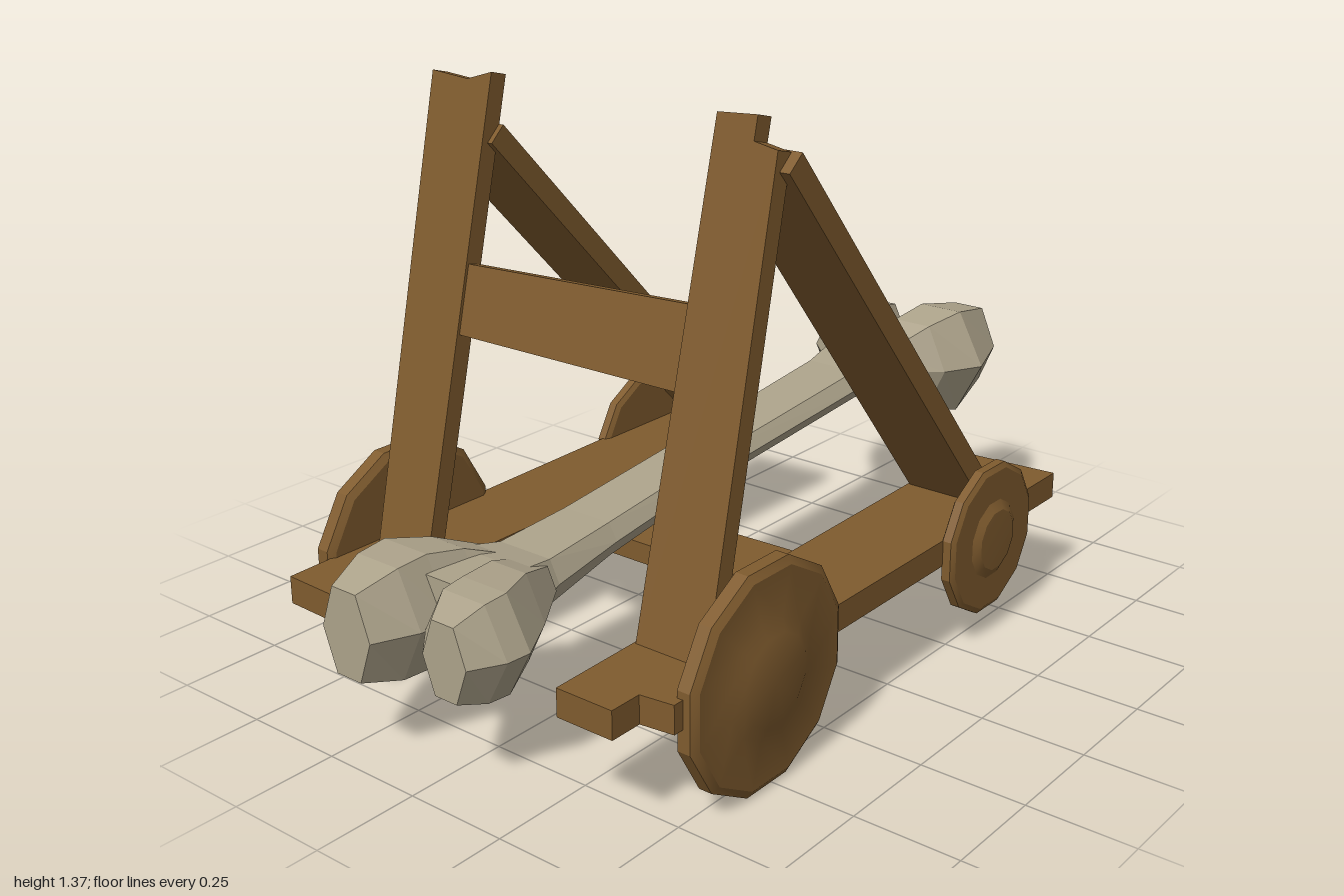
import * as THREE from 'three';
import { toCreasedNormals } from 'three/addons/utils/BufferGeometryUtils.js';

const wood = new THREE.MeshStandardMaterial({ color: 0x7f5b2e });
const bone = new THREE.MeshStandardMaterial({ color: 0xaca28a });

function add(parent, name, geometry, material) {
  const mesh = new THREE.Mesh(geometry, material);
  mesh.name = name;
  parent.add(mesh);
  return mesh;
}

// Flat board from a 2D outline, tilted about x and set at (y, z)
function board(parent, name, outline, depth, tilt, y, z, offset = 0) {
  const shape = new THREE.Shape(outline.map(([u, v]) => new THREE.Vector2(u, v)));
  const geo = new THREE.ExtrudeGeometry(shape, { depth, bevelEnabled: false });
  geo.translate(0, 0, offset).rotateX(tilt).translate(0, y, z);
  return add(parent, name, geo, wood);
}

// Twelve-sided wheel with bevelled rim and raised hub on the outside
function wheel(parent, name, side, x, z, r, t) {
  const profile = [[0, 0], [0.93 * r, 0], [r, 0.2 * t], [r, 0.8 * t], [0.93 * r, t],
    [0.52 * r, t], [0.4 * r, t + 0.012], [0, t + 0.014]];
  const lathe = new THREE.LatheGeometry(profile.map(([a, b]) => new THREE.Vector2(a, b)), 12, Math.PI / 12);
  const geo = toCreasedNormals(lathe.rotateZ(-side * Math.PI / 2), 0.4);
  geo.translate(side * x, 0.26, z);
  add(parent, name, geo, wood);
}

// Faceted loft through six-sided rings [x, y, z, halfWidth, halfHeight, flatTopFraction]
function loft(rings) {
  const pts = rings.map(([x, y, z, w, h, f]) =>
    [[1, 0], [f, 1], [-f, 1], [-1, 0], [-f, -1], [f, -1]].map(([a, b]) => [x + a * w, y + b * h, z]));
  const out = [];
  const tri = (...p) => p.forEach((q) => out.push(...q));
  for (let r = 0; r < pts.length - 1; r++) {
    for (let i = 0; i < 6; i++) {
      const j = (i + 1) % 6;
      tri(pts[r][i], pts[r][j], pts[r + 1][j]);
      tri(pts[r][i], pts[r + 1][j], pts[r + 1][i]);
    }
  }
  const first = pts[0], last = pts[pts.length - 1];
  for (let i = 1; i < 5; i++) {
    tri(first[0], first[i + 1], first[i]);
    tri(last[0], last[i], last[i + 1]);
  }
  const geo = new THREE.BufferGeometry();
  geo.setAttribute('position', new THREE.Float32BufferAttribute(out, 3));
  geo.computeVertexNormals();
  return geo;
}

export function createModel() {
  const model = new THREE.Group();
  model.name = 'catapult';

  // Base frame: notched side rails and a floor crossbar
  const frame = new THREE.Group();
  frame.name = 'frame';
  model.add(frame);
  const flat = Math.PI / 2;
  board(frame, 'rightRail', [[-0.54, -0.69], [-0.285, -0.71], [-0.28, 0.79], [-0.36, 0.80],
    [-0.36, 0.88], [-0.505, 0.875]], 0.065, flat, 0.31, 0);
  board(frame, 'leftRail', [[0.265, -0.69], [0.52, -0.71], [0.525, 0.79], [0.445, 0.80],
    [0.445, 0.88], [0.30, 0.88]], 0.065, flat, 0.31, 0);
  board(frame, 'floorCrossbar', [[-0.32, 0.09], [0.32, 0.065], [0.32, 0.25], [-0.27, 0.25],
    [-0.27, 0.2], [-0.32, 0.2]], 0.05, flat, 0.305, 0);

  // Uprights leaning back, with chipped tops
  const lean = -0.242;
  board(frame, 'rightUpright', [[-0.475, 0], [-0.315, 0], [-0.32, 1.132], [-0.39, 1.11], [-0.50, 1.118]],
    0.045, lean, 0.28, 0.65, -0.045);
  board(frame, 'leftUpright', [[0.30, 0], [0.485, 0], [0.465, 1.066], [0.405, 1.076], [0.405, 1.128], [0.305, 1.122]],
    0.045, lean, 0.28, 0.65, -0.045);
  board(frame, 'upperCrossbeam', [[-0.33, 0.553], [0.32, 0.556], [0.32, 0.737], [-0.33, 0.711]],
    0.04, lean, 0.28, 0.65, -0.047);

  // Diagonal braces from the rails to the upright tops
  board(frame, 'rightBrace', [[-0.49, -0.01], [-0.295, -0.01], [-0.305, 1.32], [-0.36, 1.315], [-0.515, 1.31]],
    0.052, 0.764, 0.31, -0.55);
  board(frame, 'leftBrace', [[0.275, -0.01], [0.485, -0.01], [0.49, 1.305], [0.40, 1.305], [0.40, 1.28], [0.30, 1.28]],
    0.055, 0.702, 0.31, -0.495);

  // Large front wheels and small back wheels
  for (const side of [-1, 1]) {
    const label = side > 0 ? 'left' : 'right';
    wheel(model, label + 'FrontWheel', side, 0.5, 0.515, 0.258, 0.053);
    wheel(model, label + 'BackWheel', side, 0.513, -0.365, 0.187, 0.037);
  }

  // Bone arm: flared shaft with a pair of knobs at each end
  const arm = new THREE.Group();
  arm.name = 'boneArm';
  model.add(arm);
  const parts = {
    boneShaft: [[-0.055, 0.49, -0.85, 0.11, 0.08, 0.7], [-0.055, 0.49, -0.66, 0.108, 0.045, 0.74],
      [-0.052, 0.48, -0.55, 0.095, 0.036, 0.74], [-0.055, 0.425, 0, 0.085, 0.034, 0.74],
      [-0.052, 0.378, 0.4, 0.09, 0.04, 0.74], [-0.05, 0.352, 0.6, 0.1, 0.052, 0.74],
      [-0.055, 0.34, 0.7, 0.135, 0.08, 0.7], [-0.06, 0.33, 0.84, 0.12, 0.09, 0.7]],
    backLeftKnob: [[0.085, 0.5, -0.995, 0.085, 0.1, 0.5], [0.08, 0.487, -0.86, 0.132, 0.137, 0.45],
      [0.055, 0.487, -0.76, 0.105, 0.115, 0.5], [0, 0.49, -0.67, 0.06, 0.05, 0.6]],
    backRightKnob: [[-0.17, 0.49, -0.965, 0.078, 0.08, 0.5], [-0.17, 0.483, -0.85, 0.12, 0.112, 0.45],
      [-0.145, 0.487, -0.75, 0.1, 0.095, 0.5], [-0.1, 0.49, -0.67, 0.065, 0.05, 0.6]],
    frontRightKnob: [[-0.1, 0.348, 0.62, 0.065, 0.05, 0.6], [-0.15, 0.335, 0.73, 0.1, 0.105, 0.5],
      [-0.183, 0.322, 0.82, 0.13, 0.132, 0.5], [-0.18, 0.322, 0.9, 0.122, 0.128, 0.5],
      [-0.18, 0.318, 0.995, 0.072, 0.1, 0.5]],
    frontLeftKnob: [[0, 0.348, 0.62, 0.06, 0.05, 0.6], [0.03, 0.335, 0.73, 0.1, 0.1, 0.5],
      [0.06, 0.327, 0.83, 0.125, 0.114, 0.5], [0.062, 0.327, 0.89, 0.118, 0.11, 0.5],
      [0.075, 0.325, 0.963, 0.062, 0.085, 0.5]],
  };
  for (const [name, rings] of Object.entries(parts)) add(arm, name, loft(rings), bone);

  return model;
}
